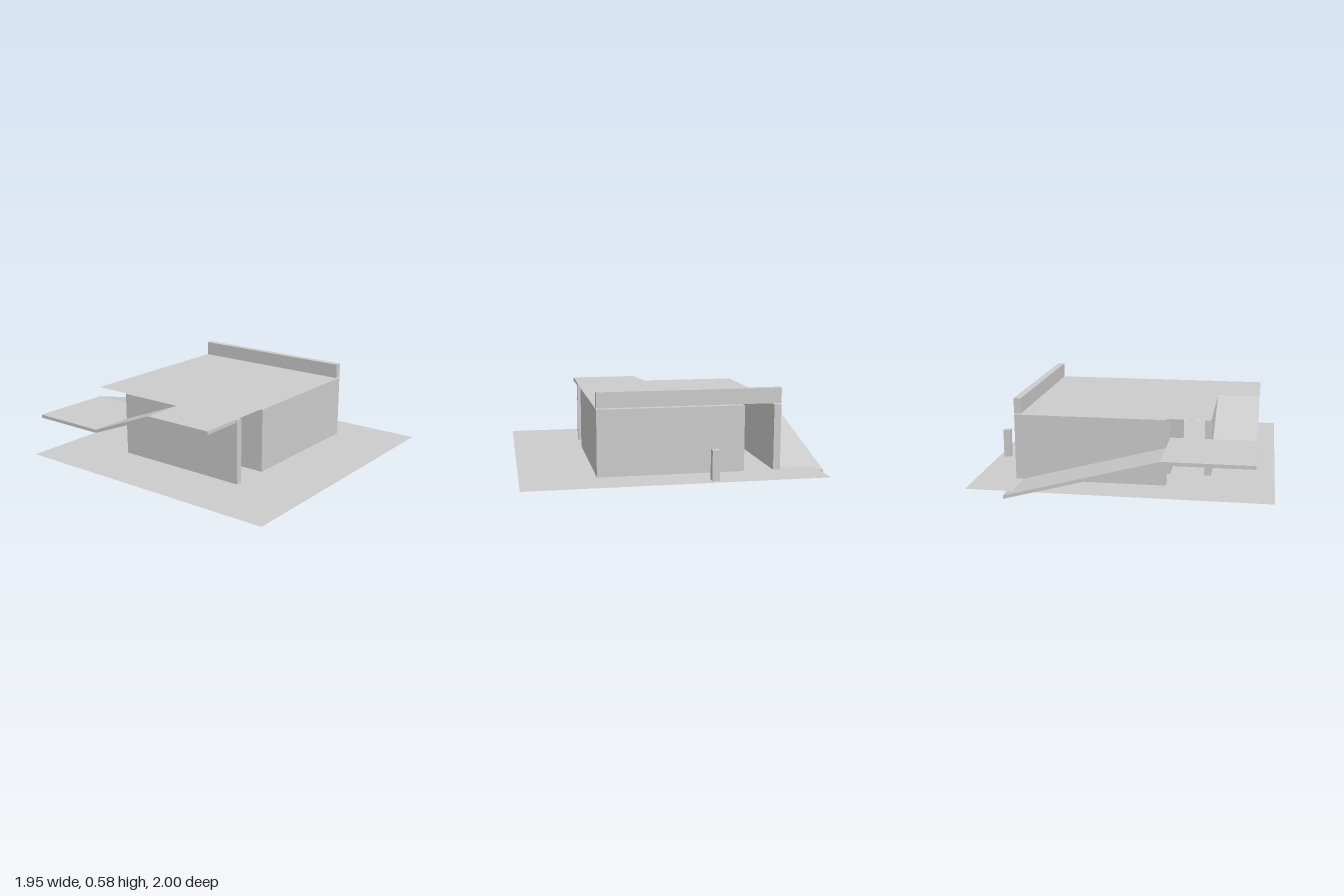
import * as THREE from 'three';

const concrete = new THREE.MeshStandardMaterial({ color: 0xcccccc, side: THREE.DoubleSide });
concrete.name = 'pale concrete';

// Shared heights
const GROUND = 0.036, WALL_TOP = 0.471, ROOF = 0.479, LANDING = 0.289, SLAB = 0.023;

export function createModel() {
  const model = new THREE.Group();
  model.name = 'pavilion';

  const add = (name, geometry) => {
    const mesh = new THREE.Mesh(geometry, concrete);
    mesh.name = name;
    model.add(mesh);
    return mesh;
  };

  // Box from its two extreme corners
  const block = (name, [x0, y0, z0], [x1, y1, z1]) =>
    add(name, new THREE.BoxGeometry(x1 - x0, y1 - y0, z1 - z0))
      .position.set((x0 + x1) / 2, (y0 + y1) / 2, (z0 + z1) / 2);

  // Sheet without thickness, facing up
  const sheet = (name, x0, x1, z0, z1, y) => {
    const geometry = new THREE.PlaneGeometry(x1 - x0, z1 - z0).rotateX(-Math.PI / 2);
    add(name, geometry).position.set((x0 + x1) / 2, y, (z0 + z1) / 2);
  };

  // Bent slab: the top line and the same line lowered, extruded across its width
  const bentSlab = (name, line, width) => {
    const under = line.map(([u, y]) => [u, y - SLAB]).reverse();
    const shape = new THREE.Shape([...line, ...under].map(([u, y]) => new THREE.Vector2(u, y)));
    return add(name, new THREE.ExtrudeGeometry(shape, { depth: width, bevelEnabled: false }));
  };

  // Ground and main roof
  sheet('ground', -0.975, 0.975, -0.95, 1, GROUND);
  sheet('roof', -0.565, 0.71, -0.7, 0.51, ROOF);

  // Walls
  block('mainRoom', [-0.28, GROUND, -0.455], [0.71, WALL_TOP, 0.51]);
  block('sideWall', [-0.555, GROUND, -0.455], [-0.51, WALL_TOP, 0.51]);
  block('backWall', [-0.28, GROUND, -0.7], [0.71, WALL_TOP, -0.653]);

  // Parapet along the roof edge and the free-standing post
  block('parapet', [0.663, ROOF, -0.7], [0.71, 0.58, 0.51]);
  block('post', [0.89, GROUND, -0.233], [0.937, 0.232, -0.185]);

  // Roof strip running down to the landing
  const upper = bentSlab('upperRamp', [[0.51, ROOF], [0.025, ROOF], [-0.455, LANDING]], 0.29);
  upper.rotation.y = -Math.PI / 2;
  upper.position.x = -0.565;

  block('landing', [-0.855, LANDING - SLAB, -1], [-0.28, LANDING, -0.455]);

  // Lower ramp sinking into the ground behind the back wall
  bentSlab('lowerRamp', [[-0.28, LANDING], [0.71, 0.023]], 0.3).position.z = -1;

  return model;
}
